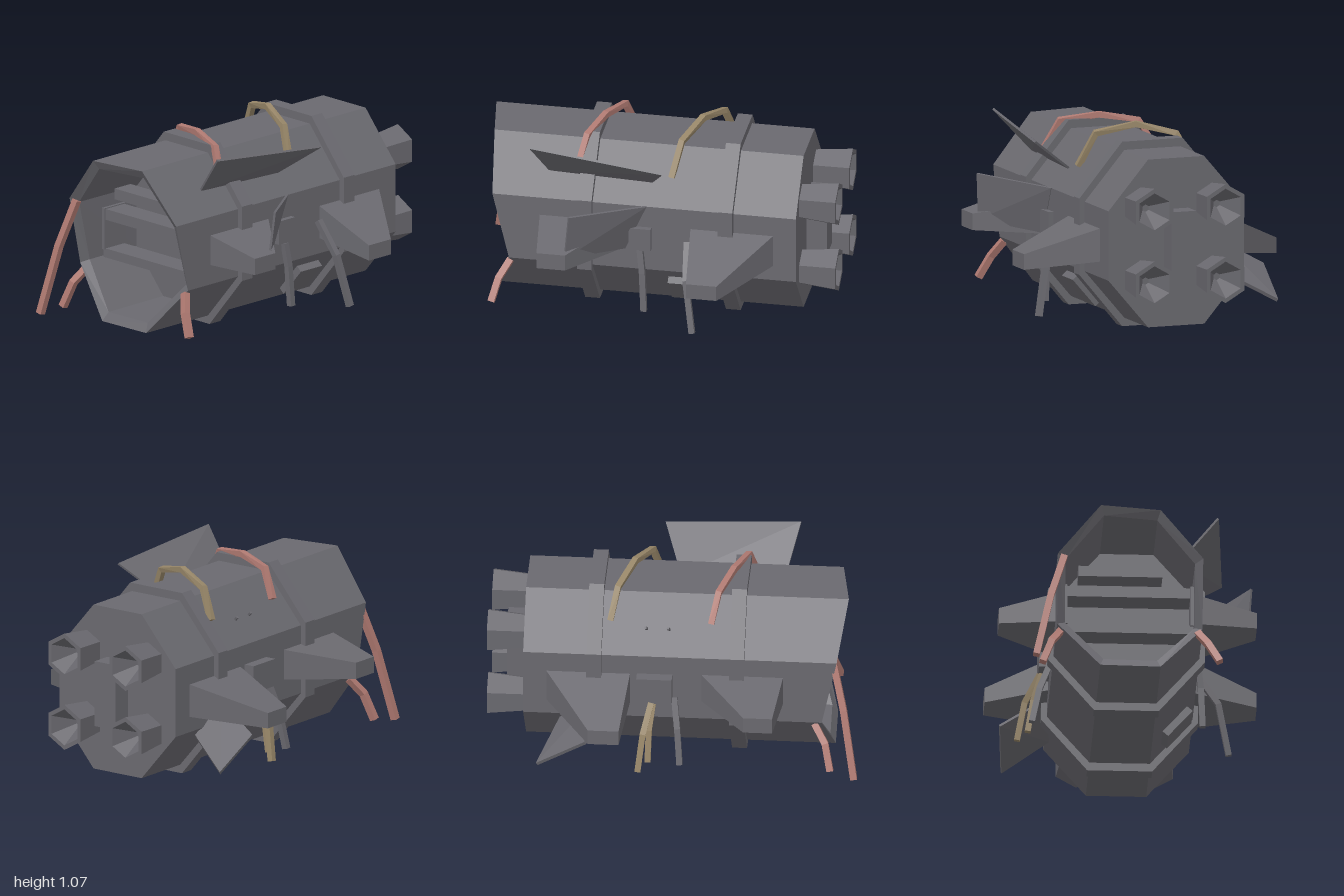
import * as THREE from 'three';
import { ConvexGeometry } from 'three/addons/geometries/ConvexGeometry.js';

const V = (x, y, z) => new THREE.Vector3(x, y, z);

// Faceted, capped skin through loops that turn counter-clockwise about the direction of travel
function loft(loops) {
  const p = [];
  const tri = (...v) => v.forEach(q => p.push(q.x, q.y, q.z));
  const n = loops[0].length;
  for (let s = 0; s + 1 < loops.length; s++) {
    const a = loops[s], b = loops[s + 1];
    for (let i = 0; i < n; i++) {
      const j = (i + 1) % n;
      tri(a[i], a[j], b[j]);
      tri(a[i], b[j], b[i]);
    }
  }
  const first = loops[0], last = loops[loops.length - 1];
  for (let i = 1; i + 1 < n; i++) {
    tri(first[0], first[i + 1], first[i]);
    tri(last[0], last[i], last[i + 1]);
  }
  const g = new THREE.BufferGeometry();
  g.setAttribute('position', new THREE.Float32BufferAttribute(p, 3));
  g.computeVertexNormals();
  return g;
}

// Octagon across the hull; z is a number or one value per corner
const octagon = (rx, ry, z, dz = 0) => Array.from({ length: 8 }, (_, i) => {
  const a = (i + 0.5) * Math.PI / 4;
  return V(rx * Math.cos(a), 0.5 + ry * Math.sin(a), (Array.isArray(z) ? z[i] : z) + dz);
});

// Hexagon with a corner on top, turning for travel towards -z
const hexagon = (cx, cy, r, z) => Array.from({ length: 6 }, (_, i) => {
  const a = Math.PI / 2 - i * Math.PI / 3;
  return V(cx + r * Math.cos(a), cy + r * Math.sin(a), z);
});

// Square rod through a few points
function rod(points, r = 0.016) {
  const pts = points.map(q => V(...q));
  return loft(pts.map((q, i) => {
    const t = pts[Math.min(i + 1, pts.length - 1)].clone().sub(pts[Math.max(i - 1, 0)]).normalize();
    const u = V(0, 0, 1).cross(t).normalize();
    const v = t.clone().cross(u);
    return [[1, 1], [-1, 1], [-1, -1], [1, -1]].map(([a, b]) =>
      q.clone().addScaledVector(u, a * r).addScaledVector(v, b * r));
  }));
}

// Thin plate from four corners
function plate(corners, t = 0.012) {
  const c = corners.map(q => V(...q));
  const n = c[2].clone().sub(c[0]).cross(c[3].clone().sub(c[1])).normalize().multiplyScalar(t / 2);
  return new ConvexGeometry([...c.map(q => q.clone().add(n)), ...c.map(q => q.clone().sub(n))]);
}

export function createModel() {
  const model = new THREE.Group();
  const mat = (name, color) => {
    const m = new THREE.MeshStandardMaterial({ color });
    m.name = name;
    return m;
  };
  const grey = mat('hull grey', 0x6a696f);
  const pink = mat('dusty red', 0xb07a72);
  const tan = mat('dull tan', 0x978668);

  const add = (name, geometry, material = grey) => {
    const m = new THREE.Mesh(geometry, material);
    m.name = name;
    model.add(m);
    return m;
  };
  const box = (name, w, h, d, x, y, z) => {
    const m = add(name, new THREE.BoxGeometry(w, h, d));
    m.position.set(x, y, z);
    return m;
  };

  // Hull with ragged open front and hollow bay
  const rim = [0.85, 0.88, 0.93, 0.88, 0.80, 0.86, 0.85, 0.76];
  add('hull', loft([
    octagon(0.422, 0.492, -0.8),
    octagon(0.422, 0.492, rim),
    octagon(0.376, 0.44, rim, -0.03),
    octagon(0.374, 0.437, 0.42),
  ]));

  // Clamping bands
  for (const z of [0.345, -0.42])
    add('band', loft([octagon(0.455, 0.541, z - 0.04), octagon(0.455, 0.541, z + 0.04)]));

  // Bay beams and wall panels
  box('bayShelf', 0.45, 0.06, 0.12, -0.045, 0.69, 0.6);
  box('bayBeam', 0.69, 0.06, 0.14, 0, 0.565, 0.6);
  box('bayBeam', 0.69, 0.05, 0.14, 0, 0.35, 0.6);
  for (const s of [-1, 1]) box('bayWallPanel', 0.02, 0.23, 0.16, s * 0.338, 0.485, 0.6);

  // Rear block and hollow nozzles
  box('rearBlock', 0.14, 0.36, 0.15, 0, 0.5, -0.835);
  for (const x of [-0.205, 0.205])
    for (const y of [0.31, 0.705])
      add('nozzle', loft([
        hexagon(x, y, 0.1, -0.78), hexagon(x, y, 0.125, -1),
        hexagon(x, y, 0.1, -1), hexagon(x, y, 0.02, -0.87),
      ]));

  // Stub wings: root and tip rectangles as [x, y0, y1, z0, z1]
  const wings = [
    [[0.37, 0.42, 0.59, 0.14, 0.595], [0.69, 0.42, 0.51, 0.40, 0.555]],
    [[0.37, 0.40, 0.585, -0.69, -0.225], [0.728, 0.335, 0.42, -0.43, -0.265]],
  ];
  for (const s of [-1, 1])
    for (const w of wings)
      add('stubWing', new ConvexGeometry(w.flatMap(([x, y0, y1, z0, z1]) =>
        [V(s * x, y0, z0), V(s * x, y1, z0), V(s * x, y0, z1), V(s * x, y1, z1)])));

  // Bent-out hull plates
  add('upperPlate', plate([[0.28, 0.805, 0.56], [0.285, 0.785, 0], [0.53, 0.965, -0.1], [0.48, 1.03, 0.63]]));
  add('sidePlate', plate([[0.67, 0.73, 0.385], [0.652, 0.475, 0.41], [0.39, 0.43, 0.13], [0.39, 0.69, 0.015]]));
  add('lowerPlate', plate([[-0.62, 0.13, -0.71], [-0.64, 0.285, -0.45], [-0.4, 0.42, -0.4], [-0.37, 0.27, -0.6]], 0.02));

  // Equipment boxes and hatch on the lower slope
  box('sideBox', 0.08, 0.15, 0.19, -0.41, 0.505, -0.095);
  box('sideBox', 0.05, 0.13, 0.12, 0.395, 0.5, 0.045);
  const hatch = box('hatch', 0.2, 0.04, 0.16, 0.297, 0.17, -0.18);
  hatch.rotation.z = Math.atan2(0.265, 0.23);

  // Trailing rods at the front
  add('frontRod', rod([[-0.355, 0.68, 0.86], [-0.43, 0.42, 0.92], [-0.51, 0.04, 0.98]], 0.018), pink);
  add('frontRod', rod([[-0.365, 0.29, 0.76], [-0.42, 0.2, 0.82], [-0.47, 0.06, 0.85]], 0.018), pink);
  add('frontRod', rod([[0.365, 0.29, 0.755], [0.42, 0.2, 0.81], [0.48, 0.085, 0.84]], 0.018), pink);

  // Hanging rods at the sides
  add('sideRod', rod([[-0.44, 0.43, -0.11], [-0.52, 0.28, -0.15], [-0.56, 0.07, -0.175]]), tan);
  add('sideRod', rod([[-0.43, 0.43, -0.1], [-0.475, 0.28, -0.12], [-0.505, 0.1, -0.125]]), tan);
  add('sideRod', rod([[-0.39, 0.44, 0.01], [-0.45, 0.28, 0.03], [-0.49, 0.08, 0.045]]));
  add('sideRod', rod([[0.40, 0.5, -0.21], [0.52, 0.33, -0.225], [0.578, 0.05, -0.27]]));
  add('sideRod', rod([[0.40, 0.43, 0.045], [0.415, 0.3, 0.03], [0.425, 0.08, 0.02]]));

  // Cables arched over the roof
  add('roofCable', rod([[-0.28, 0.84, -0.34], [-0.2, 1.0, -0.305], [0, 1.05, -0.225], [0.2, 1.0, -0.145], [0.285, 0.82, -0.105]]), tan);
  add('roofCable', rod([[-0.28, 0.84, 0.2], [-0.2, 0.99, 0.235], [0, 1.02, 0.305], [0.2, 0.99, 0.37], [0.285, 0.82, 0.41]]), pink);

  // Small spikes on the upper slope
  for (const z of [-0.14, -0.02])
    add('spike', rod([[-0.28, 0.79, z], [-0.31, 0.82, z - 0.01]], 0.006));

  return model;
}
